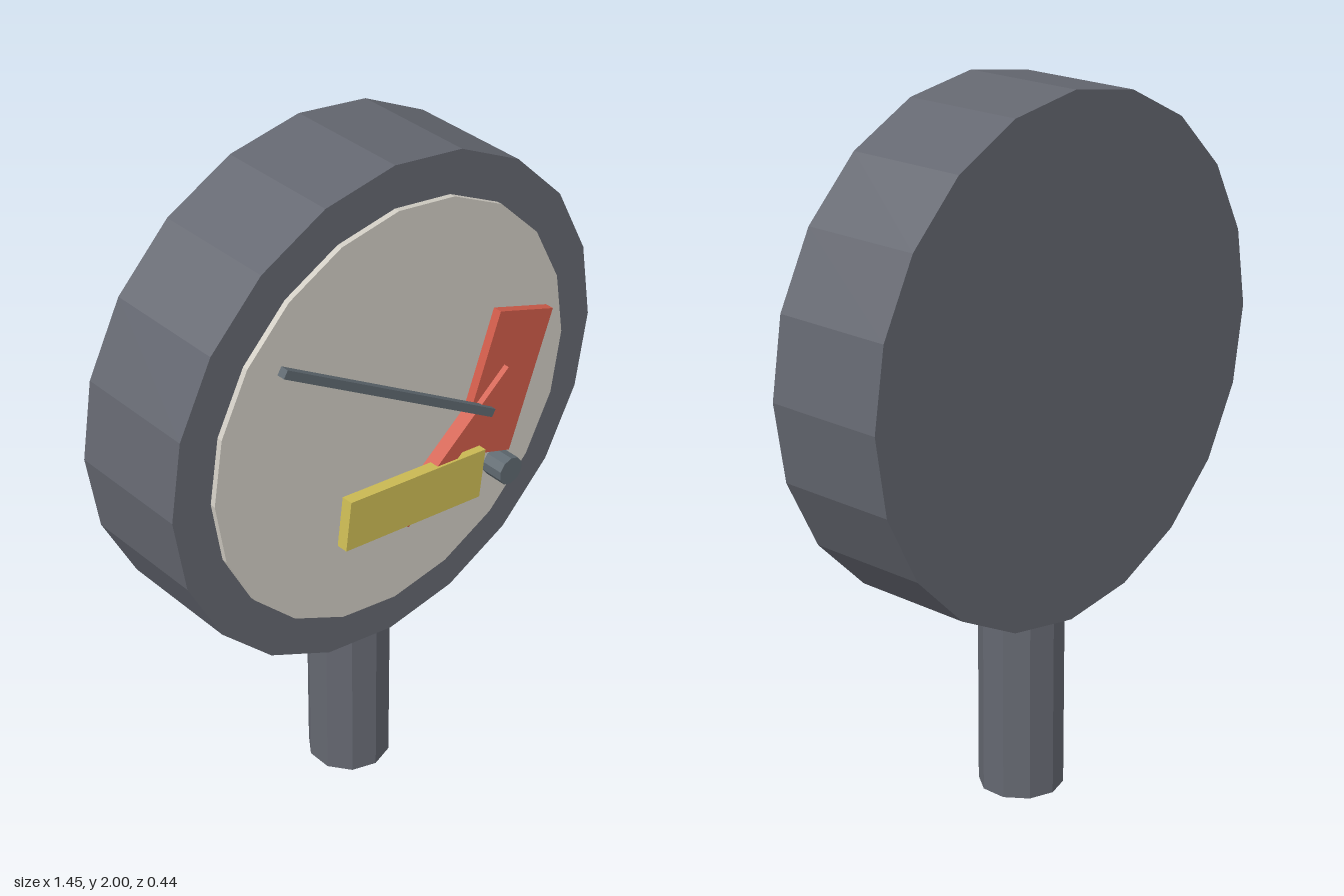
import * as THREE from 'three';

const material = (name, color) => {
  const m = new THREE.MeshStandardMaterial({ color, flatShading: true });
  m.name = name;
  return m;
};

export function createModel() {
  const model = new THREE.Group();
  model.name = 'gaugeOnPost';

  const slate = material('slate grey', 0x646770);
  const steel = material('steel grey', 0x5f6970);
  const cream = material('warm cream', 0xd0ccc3);
  const red = material('brick red', 0xd05c4a);
  const yellow = material('mustard yellow', 0xcdbc55);

  const add = (name, geometry, mat, x, y, z) => {
    const mesh = new THREE.Mesh(geometry, mat);
    mesh.name = name;
    mesh.position.set(x, y, z);
    model.add(mesh);
    return mesh;
  };

  // Disc whose axis runs along z, between two depths
  const disc = (name, mat, r, sides, x, y, z0, z1) =>
    add(name, new THREE.CylinderGeometry(r, r, z1 - z0, sides).rotateX(Math.PI / 2),
      mat, x, y, (z0 + z1) / 2);

  // Flat bar turned within the dial plane, between two depths
  const bar = (name, mat, w, h, x, y, z0, z1, degrees) => {
    const mesh = add(name, new THREE.BoxGeometry(w, h, z1 - z0), mat, x, y, (z0 + z1) / 2);
    mesh.rotation.z = THREE.MathUtils.degToRad(degrees);
  };

  // Post and round case
  add('post', new THREE.CylinderGeometry(0.12, 0.12, 0.6, 10), slate, 0, 0.3, -0.04);
  disc('case', slate, 0.725, 20, 0, 1.275, -0.222, 0.138);
  disc('dial', cream, 0.605, 20, 0, 1.275, 0.12, 0.154);

  // Overlapping pieces on the dial, from back to front
  bar('redPlate', red, 0.21, 0.422, 0.368, 1.225, 0.15, 0.18, -20);
  bar('redArm', red, 0.5, 0.053, 0.185, 1.106, 0.152, 0.197, 39);
  bar('yellowPlate', yellow, 0.485, 0.15, 0.03, 1.013, 0.17, 0.204, -6.9);
  bar('needle', steel, 0.84, 0.024, -0.061, 1.394, 0.189, 0.213, -31.6);
  disc('knob', steel, 0.042, 10, 0.363, 0.956, 0.152, 0.222);

  return model;
}
